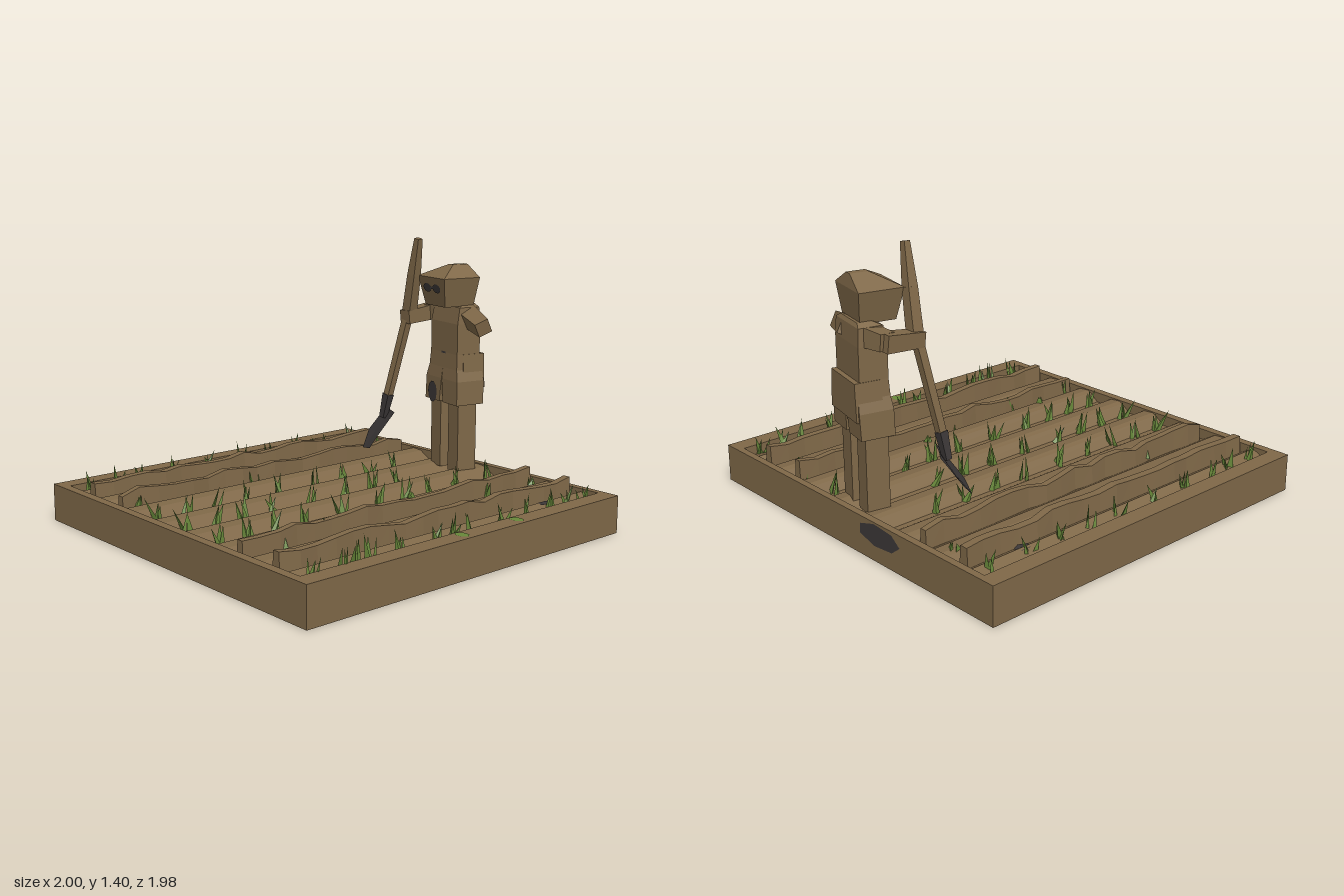
import * as THREE from 'three';

const mat = (name, color) => {
  const m = new THREE.MeshStandardMaterial({ color });
  m.name = name;
  return m;
};

// small seeded generator
function seeded(seed) {
  let s = seed;
  return () => (s = (s * 16807) % 2147483647) / 2147483647;
}

// sharp faceted normals
function facet(geo) {
  const g = geo.index ? geo.toNonIndexed() : geo;
  g.computeVertexNormals();
  return g;
}

// box whose rectangular sections follow [y, centreX, width, zBack, zFront]
function boxLoft(sections) {
  const n = sections.length - 1;
  const g = new THREE.BoxGeometry(1, 1, 1, 1, n, 1);
  const p = g.attributes.position;
  for (let i = 0; i < p.count; i++) {
    const [y, cx, w, zb, zf] = sections[Math.round((p.getY(i) + 0.5) * n)];
    p.setXYZ(i, cx + p.getX(i) * w, y, p.getZ(i) < 0 ? zb : zf);
  }
  return facet(g);
}

// straight tapered bar between two points
function bar(a, b, ra, rb, sides = 4) {
  const A = new THREE.Vector3(...a), B = new THREE.Vector3(...b);
  const d = B.clone().sub(A);
  const g = facet(new THREE.CylinderGeometry(rb, ra, d.length(), sides).rotateY(Math.PI / 4));
  g.applyQuaternion(new THREE.Quaternion().setFromUnitVectors(new THREE.Vector3(0, 1, 0), d.normalize()));
  return g.translate(...A.add(B).multiplyScalar(0.5).toArray());
}

export function createModel() {
  const earth = mat('earthBrown', 0x7f6848);
  const leaf = mat('leafGreen', 0x68883a);
  const dark = mat('darkGrey', 0x3c3838);
  leaf.side = dark.side = THREE.DoubleSide;
  const root = new THREE.Group();
  const add = (name, geo, m, parent = root) => {
    const mesh = new THREE.Mesh(geo, m);
    mesh.name = name;
    parent.add(mesh);
    return mesh;
  };
  const rand = seeded(4711);

  // planter frame
  const rect = (T, x0, x1, y0, y1) => {
    const s = new T();
    s.moveTo(x0, y0); s.lineTo(x1, y0); s.lineTo(x1, y1); s.lineTo(x0, y1); s.closePath();
    return s;
  };
  const frame = rect(THREE.Shape, -1, 1, -0.99, 0.99);
  frame.holes.push(rect(THREE.Path, -0.91, 0.905, -0.945, 0.955));
  add('planterFrame', new THREE.ExtrudeGeometry(frame, { depth: 0.19, bevelEnabled: false }).rotateX(-Math.PI / 2), earth);

  // furrowed soil
  const soil = new THREE.Shape();
  soil.moveTo(-0.91, 0);
  soil.lineTo(-0.91, 0.14);
  const step = 0.243;
  for (let i = -3; i <= 3; i++) {
    const x = i * step;
    if (i > -3) soil.lineTo(x - 0.15, 0.185);
    soil.lineTo(x - 0.09, 0.18);
    soil.lineTo(x - 0.015, 0.135);
    soil.lineTo(x + 0.015, 0.135);
    soil.lineTo(x + 0.07, 0.175);
  }
  soil.lineTo(0.905, 0.14);
  soil.lineTo(0.905, 0);
  soil.closePath();
  add('furrowedSoil', new THREE.ExtrudeGeometry(soil, { depth: 1.9, bevelEnabled: false }).translate(0, 0, -0.955), earth);

  // ragged earth ridges along the outer furrows
  for (const [x, w] of [[-0.73, 0.055], [-0.48, 0.045], [0.47, 0.045], [0.73, 0.05]]) {
    const n = 18;
    const g = new THREE.BoxGeometry(w, 0.14, 1.84, 1, 1, n);
    const p = g.attributes.position;
    const jx = [], jy = [];
    for (let i = 0; i <= n; i++) { jx.push((rand() - 0.5) * 0.022); jy.push((rand() - 0.6) * 0.03); }
    for (let i = 0; i < p.count; i++) {
      const k = Math.round((p.getZ(i) / 1.84 + 0.5) * n);
      const top = p.getY(i) > 0;
      p.setX(i, p.getX(i) * (top ? 0.75 : 1.1) + jx[k]);
      if (top) p.setY(i, p.getY(i) + jy[k]);
    }
    add('earthRidge', facet(g).translate(x, 0.17, 0), earth);
  }

  // sprouts: small bunches of pointed leaves
  const sprout = (x, z, y, h) => {
    const g = new THREE.Group();
    g.name = 'sprout';
    for (let i = 0; i < 3; i++) {
      const a = rand() * Math.PI * 2, hh = h * (0.65 + rand() * 0.35);
      const blade = facet(new THREE.ConeGeometry(0.021, hh, 3).scale(1, 1, 0.5).translate(0, hh / 2, 0));
      const m = add('leafBlade', blade, leaf, g);
      m.position.set(Math.cos(a) * 0.016, 0, Math.sin(a) * 0.016);
      m.rotation.set((rand() - 0.5) * 0.7, a, (rand() - 0.5) * 0.7);
    }
    g.position.set(x, y, z);
    root.add(g);
  };
  const even = [-0.88, -0.64, -0.46, -0.28, -0.1, 0.14, 0.36, 0.54, 0.7, 0.86];
  const rows = [
    [-0.86, 0.14, 0.13, even], [-0.235, 0.13, 0.14, even.slice(1)], [0, 0.13, 0.14, even.slice(2)],
    [0.24, 0.13, 0.14, even], [0.875, 0.14, 0.14, [...even, -0.74, 0.05, 0.62]],
    [-0.475, 0.15, 0.09, [0.1, 0.16, 0.51, 0.84]], [0.47, 0.15, 0.09, [-0.89, -0.6, 0.04, 0.46, 0.69, 0.87]],
    [-0.64, 0.175, 0.05, [-0.89]], [0.37, 0.175, 0.05, [-0.2, 0.6]], [0.58, 0.175, 0.05, [-0.85]],
  ];
  for (const [x, y, h, zs] of rows) for (const z of zs) sprout(x + (rand() - 0.5) * 0.02, z, y, h);

  // flat patches on the frame and the soil
  const plate = (name, w, h, sides, m) => add(name, new THREE.CircleGeometry(0.5, sides).scale(w, h, 1), m);
  for (const z of [-0.3, 0.06]) {
    const p = plate('mossPatch', 0.08, 0.06, 6, leaf);
    p.rotation.x = -Math.PI / 2;
    p.position.set(0.95, 0.193, z);
  }
  const back = plate('backPatch', 0.3, 0.11, 7, dark);
  back.rotation.y = Math.PI;
  back.position.set(-0.25, 0.13, -0.993);
  for (const [x, z] of [[-0.81, -0.65], [0.82, -0.66]]) {
    const p = plate('stone', 0.06, 0.09, 5, dark);
    p.rotation.x = -Math.PI / 2;
    p.position.set(x, 0.175, z);
  }

  // standing figure
  const fig = new THREE.Group();
  fig.name = 'figure';
  fig.position.set(0.013, 0, -0.85);
  fig.rotation.y = -0.22;
  root.add(fig);
  add('torso', boxLoft([[0.64, 0, 0.27, -0.085, 0.075], [0.8, 0, 0.25, -0.075, 0.065],
    [0.96, 0, 0.25, -0.075, 0.065], [1.045, 0, 0.24, -0.07, 0.05], [1.062, 0, 0.18, -0.06, 0.01]]), earth, fig);
  add('shirtHem', boxLoft([[0.62, 0, 0.28, -0.1, 0.03], [0.8, 0, 0.255, -0.1, 0.03]]), earth, fig);
  for (const s of [-1, 1]) {
    add('leg', boxLoft([[0.17, s * 0.083, 0.092, -0.058, 0.055], [0.6, s * 0.083, 0.092, -0.058, 0.055]]), earth, fig);
    add('shortsLeg', boxLoft([[0.535, s * 0.083, 0.135, -0.085, 0.08], [0.66, s * 0.075, 0.145, -0.09, 0.077],
      [0.72, s * 0.065, 0.13, -0.085, 0.07]]), earth, fig);
    const lens = add('eye', new THREE.CircleGeometry(0.5, 14).scale(0.073, 0.047, 1), dark, fig);
    lens.position.set(0.01 + s * 0.043, 1.143, 0.153);
    lens.rotation.x = 0.2;
  }
  add('eyeBridge', new THREE.PlaneGeometry(0.03, 0.012), dark, fig).position.set(0.01, 1.145, 0.155);
  add('kneePatch', new THREE.CircleGeometry(0.5, 10).scale(0.085, 0.115, 1), dark, fig).position.set(-0.078, 0.578, 0.084);
  add('buckle', new THREE.PlaneGeometry(0.04, 0.01), dark, fig).position.set(0, 0.8, 0.068);
  add('head', boxLoft([[1.05, 0.01, 0.185, -0.045, 0.13], [1.2, 0.01, 0.252, -0.06, 0.16],
    [1.262, 0.015, 0.04, -0.05, 0.04]]), earth, fig);

  // arms
  add('leftArm', bar([0.07, 1.005, -0.87], [0.295, 0.96, -0.765], 0.066, 0.052), earth);
  add('rightUpperArm', bar([-0.05, 1.0, -0.88], [-0.195, 0.995, -0.87], 0.066, 0.055), earth);
  add('rightForearm', bar([-0.19, 0.995, -0.89], [-0.195, 0.975, -0.685], 0.058, 0.05), earth);

  // shovel
  add('shovelGrip', bar([-0.195, 0.98, -0.715], [-0.145, 1.2, -0.70], 0.04, 0.036), earth);
  add('shovelTop', bar([-0.145, 1.2, -0.70], [-0.1, 1.395, -0.685], 0.036, 0.022), earth);
  add('shovelHandle', bar([-0.285, 0.53, -0.648], [-0.19, 1.02, -0.715], 0.026, 0.028), earth);
  add('shovelSocket', bar([-0.31, 0.42, -0.64], [-0.282, 0.55, -0.65], 0.022, 0.031), dark);
  const blade = new THREE.BufferGeometry();
  const rowsOfBlade = [
    [[-0.37, 0.47, -0.73], [-0.295, 0.46, -0.675], [-0.2, 0.465, -0.62]],
    [[-0.435, 0.33, -0.65], [-0.345, 0.34, -0.615], [-0.25, 0.34, -0.545]],
    [[-0.385, 0.25, -0.56], [-0.335, 0.26, -0.535], [-0.27, 0.275, -0.505]],
  ];
  blade.setAttribute('position', new THREE.Float32BufferAttribute(rowsOfBlade.flat(2), 3));
  const idx = [];
  for (let r = 0; r < 2; r++) for (let c = 0; c < 2; c++) {
    const a = r * 3 + c;
    idx.push(a, a + 3, a + 1, a + 1, a + 3, a + 4);
  }
  blade.setIndex(idx);
  add('shovelBlade', facet(blade), dark);

  return root;
}
